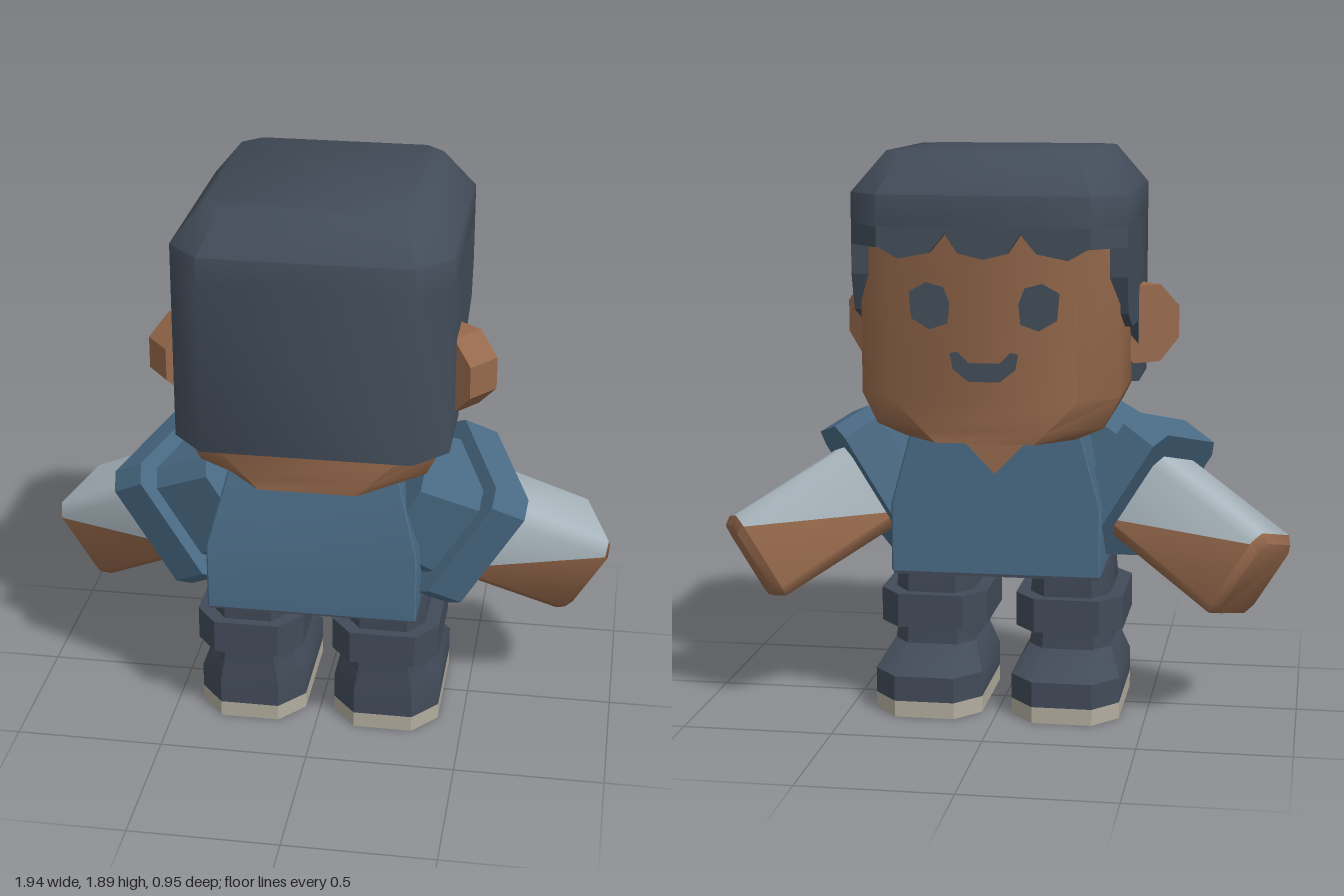
import * as THREE from 'three';
import { toCreasedNormals } from 'three/addons/utils/BufferGeometryUtils.js';

const mat = (name, color) => Object.assign(new THREE.MeshStandardMaterial({ color }), { name });
const V = (x, y, z) => new THREE.Vector3(x, y, z);

// Chamfered rectangle at height y: half sizes hx, hz with flats fx, fz
const oct = (y, hx, fx, hz, fz, ox = 0, oz = 0) =>
  [[fx, hz], [hx, fz], [hx, -fz], [fx, -hz], [-fx, -hz], [-hx, -fz], [-hx, fz], [-fx, hz]]
    .map(([x, z]) => V(x + ox, y, z + oz));

// Closed solid through convex rings; winding is fixed from the signed volume
function loft(rings, crease = 0.9) {
  const tris = [], n = rings[0].length;
  for (let r = 0; r < rings.length - 1; r++) {
    for (let i = 0; i < n; i++) {
      const j = (i + 1) % n, a = rings[r], b = rings[r + 1];
      tris.push([a[i], a[j], b[j]], [a[i], b[j], b[i]]);
    }
  }
  const end = rings[rings.length - 1];
  for (let i = 1; i < n - 1; i++) {
    tris.push([rings[0][0], rings[0][i + 1], rings[0][i]], [end[0], end[i], end[i + 1]]);
  }
  const volume = tris.reduce((s, [a, b, c]) => s + a.dot(b.clone().cross(c)), 0);
  if (volume < 0) tris.forEach((t) => t.reverse());
  const g = new THREE.BufferGeometry();
  g.setAttribute('position', new THREE.Float32BufferAttribute(
    tris.flatMap((t) => t.flatMap((p) => [p.x, p.y, p.z])), 3));
  return toCreasedNormals(g, crease);
}

// Flat outline extruded along z, starting at z
function plate(points, depth, z) {
  const shape = new THREE.Shape(points.map(([x, y]) => new THREE.Vector2(x, y)));
  return new THREE.ExtrudeGeometry(shape, { depth, bevelEnabled: false }).translate(0, 0, z);
}

export function createModel() {
  const skin = mat('skin', 0x96694c), hair = mat('hair', 0x434d5a), shirt = mat('shirt', 0x4a6b85);
  const cloth = mat('paleSleeve', 0xa9b6bd), trousers = mat('trousers', 0x424b59), sole = mat('sole', 0xb2ad9e);
  const model = new THREE.Group();
  model.name = 'figure';
  const add = (name, geometry, material) => {
    const m = new THREE.Mesh(geometry, material);
    m.name = name;
    model.add(m);
  };

  // Head with cut jaw corners
  add('head', loft([
    oct(0.97, 0.28, 0.16, 0.445, 0.32), oct(1.01, 0.37, 0.2, 0.445, 0.33),
    oct(1.11, 0.42, 0.3, 0.445, 0.33), oct(1.72, 0.42, 0.3, 0.445, 0.33),
  ]), skin);

  // Hair: crown, back, fringe, sides
  add('hairCrown', loft([
    oct(1.66, 0.445, 0.34, 0.475, 0.36), oct(1.76, 0.445, 0.34, 0.475, 0.36),
    oct(1.89, 0.34, 0.28, 0.36, 0.3),
  ]), hair);
  const backPlan = [[0.445, 0.07], [0.445, 0.36], [0.34, 0.475], [-0.34, 0.475], [-0.445, 0.36], [-0.445, 0.07]];
  add('hairBack', loft([1.105, 1.66].map((y) => backPlan.map(([x, z]) => V(x, y, z)))), hair);
  add('hairFringe', plate([
    [-0.34, 1.66], [-0.34, 1.6], [-0.27, 1.56], [-0.17, 1.58], [-0.12, 1.64], [-0.08, 1.58], [0, 1.56],
    [0.08, 1.58], [0.12, 1.64], [0.17, 1.58], [0.27, 1.56], [0.34, 1.6], [0.34, 1.66],
  ], 0.06, -0.475), hair);
  const lock = [
    [-0.2, 1.66], [-0.2, 1.2], [-0.07, 1.2], [0, 1.32], [0.17, 1.32], [0.32, 1.38], [0.36, 1.5], [0.36, 1.66],
  ];

  // Face details on the -z side
  const eye = [[0.065, 0.045], [0.01, 0.075], [-0.045, 0.06], [-0.065, 0.01],
    [-0.058, -0.055], [0, -0.075], [0.058, -0.04]];
  add('mouth', plate([
    [-0.11, 0.04], [-0.085, 0.045], [-0.05, 0.01], [0.05, 0.01], [0.085, 0.045], [0.11, 0.04],
    [0.1, -0.01], [0.05, -0.05], [-0.05, -0.05], [-0.1, -0.01],
  ].map(([x, y]) => [x, y + 1.22]), 0.006, -0.45), hair);

  // Torso, neckline and hips
  add('torso', loft([
    oct(0.49, 0.35, 0.345, 0.305, 0.3, 0, 0.078), oct(0.72, 0.35, 0.345, 0.305, 0.3, 0, 0.078),
    oct(0.98, 0.28, 0.275, 0.275, 0.27, 0, 0.048),
  ], 0.4), shirt);
  add('neckline', plate([[-0.14, 0.975], [0, 0.83], [0.14, 0.975]], 0.006, -0.232), skin);
  add('hips', new THREE.BoxGeometry(0.69, 0.03, 0.59).translate(0, 0.493, 0.078), trousers);

  for (const s of [1, -1]) {
    const side = s > 0 ? 'left' : 'right';

    add(side + 'Eye', plate(eye.map(([x, y]) => [s * (x + 0.175), y + 1.41]), 0.006, -0.45), hair);
    add(side + 'HairSide', plate(lock, 0.12, 0).rotateY(Math.PI / 2)
      .translate(s > 0 ? 0.325 : -0.445, 0, 0), hair);
    const corner = [[0.445, -0.36], [0.34, -0.475], [0.3, -0.44], [0.4, -0.33]];
    add(side + 'HairCorner', loft([1.595, 1.66].map((y) => corner.map(([x, z]) => V(s * x, y, z)))), hair);

    // Eight-sided ear, turned forward
    add(side + 'Ear', toCreasedNormals(new THREE.CylinderGeometry(0.141, 0.141, 0.125, 8)
      .rotateY(Math.PI / 8).rotateX(Math.PI / 2).rotateY(-0.67 * s)
      .translate(0.432 * s, 1.3, 0.12), 0.3), skin);

    // Arm frame: t runs from the fist towards the shoulder, a upwards, b backwards
    const at = (t, a, b) => V(
      s * (0.86 - 0.77 * t + 0.526 * a + 0.36 * b),
      0.49 + 0.48 * t + 0.85 * a - 0.22 * b,
      -0.16 + 0.42 * t + 0.906 * b);
    const section = (t, ha, hb, c) => oct(0, ha, ha - c, hb, hb - c).map((p) => at(t, p.x, p.z));
    add(side + 'SleeveCuff', loft([section(0.465, 0.24, 0.235, 0.05), section(0.6, 0.24, 0.235, 0.05)], 0.3), shirt);
    add(side + 'Sleeve', loft([section(0.58, 0.19, 0.19, 0.05), section(0.82, 0.17, 0.17, 0.05)], 0.3), shirt);
    // Forearm is split on a slant: pale cloth above, skin below
    const cuts = [[0.03, 0.115], [0.5, -0.12]];
    add(side + 'ForearmCloth', loft(cuts.map(([t, h]) => [
      at(t, 0.16, -0.115), at(t, 0.16, 0.115), at(t, 0.12, 0.15), at(t, h, 0.15), at(t, h, -0.15), at(t, 0.12, -0.15),
    ])), cloth);
    add(side + 'Forearm', loft(cuts.map(([t, h]) => [
      at(t, h, -0.15), at(t, h, 0.15), at(t, -0.125, 0.15), at(t, -0.16, 0.115), at(t, -0.16, -0.115), at(t, -0.125, -0.15),
    ])), skin);
    add(side + 'Fist', loft([section(0, 0.14, 0.13, 0.035), section(0.03, 0.16, 0.15, 0.035)]), skin);

    // Leg, trouser cuff, shoe and sole
    const x = 0.232 * s;
    add(side + 'Leg', loft([
      oct(0.18, 0.145, 0.09, 0.21, 0.14, x, 0.077), oct(0.3, 0.125, 0.08, 0.205, 0.13, x, 0.077),
      oct(0.4, 0.135, 0.08, 0.215, 0.14, x, 0.08), oct(0.5, 0.125, 0.08, 0.215, 0.14, x, 0.08),
    ]), trousers);
    add(side + 'TrouserCuff', loft([
      oct(0.28, 0.182, 0.11, 0.25, 0.16, x, 0.077), oct(0.395, 0.182, 0.11, 0.25, 0.16, x, 0.077),
    ], 0.3), trousers);
    add(side + 'Shoe', loft([
      oct(0.055, 0.182, 0.1, 0.287, 0.19, x), oct(0.14, 0.182, 0.1, 0.287, 0.19, x),
      oct(0.215, 0.14, 0.09, 0.207, 0.14, x, 0.077),
    ], 0.6), trousers);
    add(side + 'Sole', loft([
      oct(0, 0.182, 0.1, 0.287, 0.19, x), oct(0.055, 0.182, 0.1, 0.287, 0.19, x),
    ], 0.6), sole);
  }
  return model;
}
